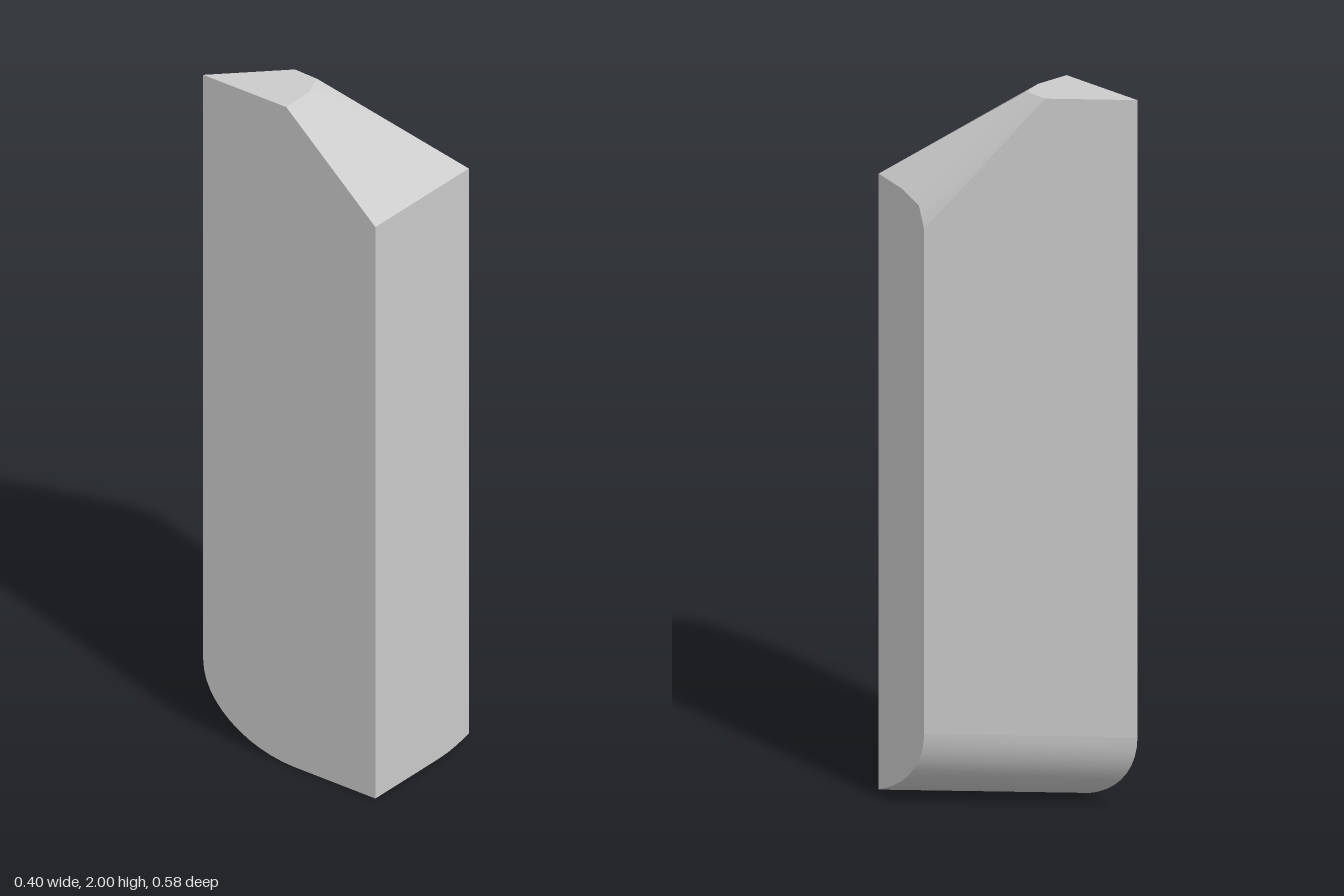
import * as THREE from 'three';

const v = (x, y, z) => new THREE.Vector3(x, y, z);
const CENTRE = v(-0.05, 1, 0.08); // a point inside the convex bar

// Indexed surface whose triangles all face away from the centre
function surface(name, points, triangles, material) {
  const index = [];
  for (const [a, b, c] of triangles) {
    const n = points[b].clone().sub(points[a]).cross(points[c].clone().sub(points[a]));
    const outward = n.dot(points[a].clone().sub(CENTRE)) > 0;
    index.push(a, ...(outward ? [b, c] : [c, b]));
  }
  const geometry = new THREE.BufferGeometry().setFromPoints(points);
  geometry.setIndex(index);
  geometry.computeVertexNormals();
  const mesh = new THREE.Mesh(geometry, material);
  mesh.name = name;
  return mesh;
}

// Flat convex polygon filled as a fan
function polygon(name, points, material) {
  const triangles = [];
  for (let i = 1; i < points.length - 1; i++) triangles.push([0, i, i + 1]);
  return surface(name, points, triangles, material);
}

export function createModel() {
  const grey = new THREE.MeshStandardMaterial({ color: 0xcccccc });
  grey.name = 'light grey';
  const group = new THREE.Group();
  group.name = 'bevelledBar';

  // Plan limits: left side, right side, front; the back runs along z = x - 0.09
  const L = -0.2, R = 0.2, F = 0.29, SIDE = 0.18;

  // Rounded lower back edge: offset t from the back face against height
  const RUN = 0.31, RISE = 0.22;
  const steps = [SIDE];
  for (let i = 0; i <= 12; i++) steps.push(RUN * (1 - Math.cos((i / 12) * Math.PI / 2)));
  steps.sort((a, b) => a - b);
  const height = t => RISE * (1 - Math.sqrt(Math.max(0, 1 - (1 - t / RUN) ** 2)));
  const inner = steps.map(t => v(L, height(t), L - 0.09 + t));
  const outer = steps.map(t => {
    const x = Math.min(R, F + 0.09 - t);
    return v(x, height(t), x - 0.09 + t);
  });
  const last = steps.length - 1;
  const corner = steps.indexOf(SIDE);

  // Corners of the sloping top
  const frontLeft = v(L, 1.74, F), frontRight = v(R, 1.74, F);
  const sideA = v(R, 1.722, 0.2), sideB = v(R, 1.69, 0.13), sideBack = v(R, 1.63, 0.11);
  const topBack = v(L, 2, -0.29), topFront = v(L, 2, -0.01);
  const topMid = v(-0.095, 2, -0.013), topRidge = v(-0.03, 2, -0.04), topSide = v(-0.027, 2, -0.117);
  const baseFront = v(L, 0, F);

  // Flat faces
  group.add(
    polygon('topFace', [topBack, topFront, topMid, topRidge, topSide], grey),
    polygon('baseFace', [baseFront, inner[last], outer[last]], grey),
    polygon('diagonalBackFace', [topBack, inner[0], outer[0], sideBack, topSide], grey),
    polygon('leftFace', [baseFront, frontLeft, topFront, topBack, ...inner], grey),
    polygon('frontFace', [frontLeft, frontRight, ...outer.slice(corner), baseFront], grey),
    polygon('rightFace', [frontRight, sideA, sideB, sideBack, ...outer.slice(0, corner + 1)], grey),
  );

  // Rounded lower edge
  const strip = [];
  for (let i = 0; i < last; i++) {
    const a = i, b = i + 1, c = i + steps.length, d = c + 1;
    strip.push([a, b, c], [b, d, c]);
  }
  group.add(surface('roundedLowerEdge', [...inner, ...outer], strip, grey));

  // Sloping front and side bevels, smooth within and sharp where they meet
  group.add(
    surface('frontBevel', [frontLeft, frontRight, topRidge, topMid, topFront],
      [[0, 1, 3], [0, 3, 4], [1, 2, 3]], grey),
    surface('sideBevel', [topRidge, frontRight, sideA, sideB, sideBack, topSide],
      [[0, 1, 2], [0, 2, 3], [0, 3, 5], [5, 3, 4]], grey),
  );
  return group;
}
